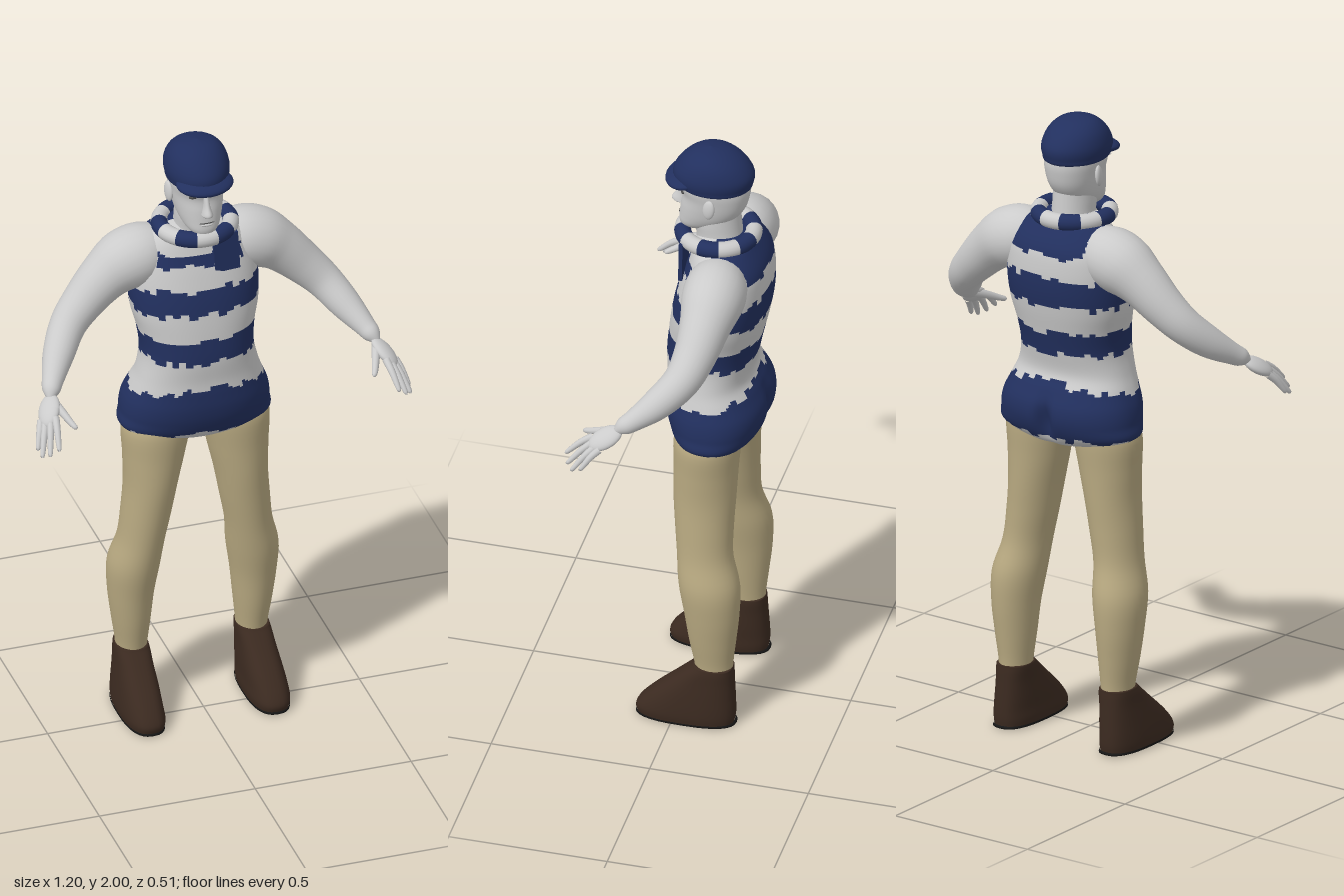
import * as THREE from 'three';

const mat = (name, color, side = THREE.FrontSide) => {
  const m = new THREE.MeshStandardMaterial({ color, side });
  m.name = name;
  return m;
};

// Closed grid surface: fn(row, angle) gives a point; rows are welded around.
function gridSurface(rows, cols, fn, pick) {
  const pos = [], faces = [[], []];
  for (let r = 0; r <= rows; r++)
    for (let c = 0; c < cols; c++) pos.push(...fn(r / rows, (c / cols) * Math.PI * 2));
  for (let r = 0; r < rows; r++)
    for (let c = 0; c < cols; c++) {
      const n = (c + 1) % cols, a = r * cols + c, b = r * cols + n;
      const up = a + cols, upN = b + cols;
      const k = pick ? pick(pos[a * 3], (pos[a * 3 + 1] + pos[up * 3 + 1]) / 2, pos[a * 3 + 2], c) : 0;
      faces[k].push(a, up, b, b, up, upN);
    }
  const g = new THREE.BufferGeometry();
  g.setAttribute('position', new THREE.Float32BufferAttribute(pos, 3));
  g.setIndex([...faces[0], ...faces[1]]);
  if (pick) {
    g.addGroup(0, faces[0].length, 0);
    g.addGroup(faces[0].length, faces[1].length, 1);
  }
  g.computeVertexNormals();
  return g;
}

// Smooth interpolation through a list of stations
function spline(stations, t) {
  const n = stations.length - 1, f = Math.min(t * n, n - 1e-6), i = Math.floor(f), u = f - i;
  const s = (k) => stations[Math.max(0, Math.min(n, k))];
  return s(i).map((p1, k) => {
    const p0 = s(i - 1)[k], p2 = s(i + 1)[k], p3 = s(i + 2)[k];
    return p1 + 0.5 * u * (p2 - p0 + u * (2 * p0 - 5 * p1 + 4 * p2 - p3 + u * (3 * (p1 - p2) + p3 - p0)));
  });
}

// Horizontal rings, bottom to top: [y, centreX, halfWidth, zFront, zBack]
function ringLoft(stations, { cols = 40, steps = 5, power = 2, shape, pick } = {}) {
  const sp = (v) => Math.sign(v) * Math.abs(v) ** (2 / power);
  return gridSurface((stations.length - 1) * steps, cols, (t, a) => {
    const [y, cx, hw, zf, zb] = spline(stations, t);
    const x = cx + Math.max(hw, 0) * sp(Math.cos(a));
    const z = (zf + zb) / 2 + ((zf - zb) / 2) * sp(Math.sin(a));
    return shape ? shape(x, y, z, Math.sin(a)) : [x, y, z];
  }, pick);
}

// Round limb with changing radius: [x, y, z, radius]
function limb(stations, cols = 24, steps = 5) {
  const n = (stations.length - 1) * steps;
  const ref = new THREE.Vector3(0, 0, 1);
  return gridSurface(n, cols, (t, a) => {
    const p = spline(stations, t), q = spline(stations, Math.min(1, t + 0.01)), o = spline(stations, Math.max(0, t - 0.01));
    const dir = new THREE.Vector3(q[0] - o[0], q[1] - o[1], q[2] - o[2]).normalize();
    const side = new THREE.Vector3().crossVectors(ref, dir).normalize();
    const up = new THREE.Vector3().crossVectors(side, dir);
    const r = Math.max(p[3], 0);
    const v = side.multiplyScalar(Math.cos(a) * r).addScaledVector(up, Math.sin(a) * r);
    return [p[0] + v.x, p[1] + v.y, p[2] + v.z];
  });
}

function mirrored(g) {
  const m = g.clone().scale(-1, 1, 1), ix = m.index.array;
  for (let i = 0; i < ix.length; i += 3) [ix[i], ix[i + 1]] = [ix[i + 1], ix[i]];
  m.computeVertexNormals();
  return m;
}

export function createModel() {
  const model = new THREE.Group();
  const pale = mat('pale grey', 0xcbcbcb), navy = mat('navy', 0x22305f);
  const tan = mat('tan', 0xb8a981), brown = mat('brown', 0x3b2a20);
  const black = mat('sole black', 0x171717), dark = mat('feature grey', 0x4a4a4a);

  const add = (name, g, m) => {
    const mesh = new THREE.Mesh(g, m);
    mesh.name = name;
    model.add(mesh);
    return mesh;
  };
  const pair = (name, g, m) => {
    add(name + 'Left', g, m);
    add(name + 'Right', mirrored(g), m);
  };
  const ball = (x, y, z, sx, sy, sz) => new THREE.SphereGeometry(1, 24, 16).scale(sx, sy, sz).translate(x, y, z);

  // Torso with ragged stripes
  const hash = (n) => { const s = Math.sin(n * 127.1 + 3.7) * 43758.5453; return s - Math.floor(s); };
  const stripe = (x, y, z, c) => {
    const back = z < -0.1;
    const jag = (k) => (hash(Math.floor(c / 2) + k * 31) - 0.5) * 0.022;
    const bands = [
      [1.0, 1.175 - 0.6 * x * x], [1.268, 1.345], [1.432, back ? 1.525 : 1.51],
      back ? [1.595, 1.72] : [1.58, 1.625],
    ];
    return bands.some(([lo, hi], k) => (k < 3 || Math.abs(x) < 0.135) && y > lo + jag(k) && y < hi + jag(k + 5)) ? 1 : 0;
  };
  add('torso', ringLoft([
    [0.955, 0, 0, -0.06, -0.1], [0.97, 0, 0.11, 0, -0.19], [1.0, 0, 0.23, 0.035, -0.225],
    [1.05, 0, 0.235, 0.058, -0.247], [1.1, 0, 0.228, 0.068, -0.247], [1.15, 0, 0.208, 0.068, -0.225],
    [1.2, 0, 0.19, 0.065, -0.2], [1.27, 0, 0.176, 0.068, -0.21], [1.34, 0, 0.182, 0.062, -0.225],
    [1.41, 0, 0.198, 0.053, -0.24], [1.48, 0, 0.203, 0.04, -0.25], [1.55, 0, 0.2, 0.02, -0.25],
    [1.61, 0, 0.185, 0.0, -0.24], [1.66, 0, 0.15, -0.015, -0.21], [1.69, 0, 0.105, -0.03, -0.18],
    [1.71, 0, 0.03, -0.07, -0.12],
  ], {
    cols: 96, steps: 7, power: 2.25, pick: stripe,
    // Cleft between the buttocks
    shape: (x, y, z, s) => [x, y, s < 0
      ? z + 0.035 * Math.exp(-((x / 0.022) ** 2)) * Math.exp(-(((y - 1.05) / 0.06) ** 2)) : z],
  }), [pale, navy]);

  // Legs
  pair('leg', ringLoft([
    [0.17, 0.193, 0.047, -0.065, -0.18], [0.22, 0.193, 0.05, -0.058, -0.181], [0.3, 0.195, 0.06, -0.043, -0.19],
    [0.4, 0.196, 0.071, -0.028, -0.2], [0.5, 0.19, 0.08, -0.01, -0.2], [0.6, 0.172, 0.073, 0, -0.174],
    [0.7, 0.157, 0.077, 0.01, -0.172], [0.8, 0.144, 0.083, 0.018, -0.176], [0.9, 0.134, 0.096, 0.02, -0.18],
    [1.0, 0.126, 0.107, 0.02, -0.185], [1.05, 0.12, 0.08, 0, -0.17],
  ], { cols: 32 }), tan);

  // Shoes and soles
  pair('shoe', ringLoft([
    [0.008, 0.2, 0.063, 0.117, -0.187], [0.03, 0.2, 0.065, 0.12, -0.19], [0.06, 0.2, 0.063, 0.1, -0.19],
    [0.1, 0.198, 0.06, 0.06, -0.188], [0.15, 0.196, 0.055, 0.002, -0.185], [0.195, 0.194, 0.052, -0.05, -0.182],
    [0.205, 0.194, 0.044, -0.065, -0.175], [0.205, 0.194, 0, -0.12, -0.12],
  ], { cols: 32, power: 2.6 }), brown);
  pair('sole', ringLoft([
    [0, 0.2, 0, -0.035, -0.035], [0, 0.2, 0.058, 0.108, -0.182], [0.01, 0.2, 0.064, 0.118, -0.188],
  ], { cols: 32, steps: 3, power: 2.6 }), black);

  // Arms
  pair('arm', limb([
    [0.09, 1.59, -0.12, 0.07], [0.15, 1.59, -0.12, 0.094], [0.215, 1.572, -0.12, 0.096], [0.28, 1.53, -0.115, 0.079],
    [0.35, 1.465, -0.102, 0.066], [0.41, 1.405, -0.075, 0.057], [0.46, 1.345, -0.015, 0.049],
    [0.5, 1.298, 0.05, 0.034], [0.515, 1.28, 0.08, 0.027], [0.525, 1.265, 0.1, 0.01],
  ]), pale);

  // Hands: flat palm, four fingers and a thumb
  const along = new THREE.Vector3(0.045, -0.06, 0.1).normalize();
  const across = new THREE.Vector3(0.05, -0.02, -0.06);
  across.addScaledVector(along, -across.dot(along)).normalize();
  const normal = new THREE.Vector3().crossVectors(along, across);
  const palmAt = new THREE.Vector3(0.538, 1.243, 0.13);
  pair('palm', ball(0, 0, 0, 0.036, 0.019, 0.058)
    .applyMatrix4(new THREE.Matrix4().makeBasis(across, normal, along).setPosition(palmAt)), pale);
  const tips = [[0.545, 1.175, 0.248], [0.57, 1.155, 0.238], [0.589, 1.145, 0.22], [0.594, 1.155, 0.192]];
  tips.forEach((tip, i) => {
    const base = palmAt.clone().addScaledVector(along, 0.03).addScaledVector(across, (i - 1.5) * 0.017);
    const b = base.toArray(), mid = b.map((v, k) => (v + tip[k]) / 2 + (k === 1 ? 0.006 : 0));
    pair('finger' + (i + 1), limb([[...b, 0.012], [...mid, 0.0105], [...tip, 0.007], [...tip.map((v, k) => v + along.getComponent(k) * 0.005), 0]], 10, 4), pale);
  });
  pair('thumb', limb([[0.522, 1.262, 0.1, 0.016], [0.505, 1.245, 0.145, 0.013], [0.488, 1.225, 0.19, 0.01],
    [0.479, 1.217, 0.21, 0.007], [0.477, 1.215, 0.215, 0]], 10, 4), pale);

  // Neck and head
  add('neck', ringLoft([[1.62, 0, 0.08, -0.02, -0.17], [1.69, 0, 0.066, -0.015, -0.16], [1.74, 0, 0.064, -0.005, -0.155],
    [1.8, 0, 0.06, -0.02, -0.15]]), pale);
  add('head', ringLoft([
    [1.7, 0, 0, 0, -0.02], [1.705, 0, 0.03, 0.028, -0.05], [1.725, 0, 0.052, 0.038, -0.09], [1.755, 0, 0.067, 0.036, -0.14],
    [1.79, 0, 0.076, 0.032, -0.168], [1.83, 0, 0.082, 0.026, -0.18], [1.87, 0, 0.086, 0.036, -0.183],
    [1.92, 0, 0.08, 0.025, -0.17], [1.95, 0, 0, -0.06, -0.08],
  ], { power: 2.2 }), pale);
  add('nose', ringLoft([[1.775, 0, 0, 0.04, 0.02], [1.782, 0, 0.017, 0.056, 0.01], [1.792, 0, 0.016, 0.064, 0.01],
    [1.815, 0, 0.01, 0.05, 0.01], [1.85, 0, 0.008, 0.034, 0.01]], { cols: 16 }), pale);
  pair('ear', ball(0, 0, 0, 0.01, 0.034, 0.02).rotateY(-0.3).rotateX(-0.15).translate(0.087, 1.822, -0.075), pale);
  pair('brow', ball(0.036, 1.858, 0.024, 0.024, 0.006, 0.01), pale);
  pair('eye', ball(0.036, 1.843, 0.016, 0.016, 0.006, 0.008), dark);
  add('mouth', ball(0, 1.753, 0.033, 0.024, 0.0025, 0.0045), dark);
  add('lowerLip', ball(0, 1.746, 0.033, 0.02, 0.005, 0.006), pale);

  // Flat cap with visor
  add('cap', ringLoft([
    [1.875, 0, 0, -0.06, -0.08], [1.866, 0, 0.082, 0.03, -0.175], [1.885, 0, 0.096, 0.055, -0.192], [1.92, 0, 0.098, 0.054, -0.194],
    [1.96, 0, 0.084, 0.026, -0.165], [1.988, 0, 0.053, -0.012, -0.118], [2.0, 0, 0, -0.06, -0.06],
  ]), navy);
  add('visor', ball(0, 0, 0, 0.09, 0.024, 0.068).rotateX(0.12).translate(0, 1.886, 0.013), navy);

  // Scarf ring in alternating bands, with a hanging tail
  class ScarfArc extends THREE.Curve {
    constructor(i) { super(); this.i = i; }
    getPoint(t, out = new THREE.Vector3()) {
      const a = ((this.i - 0.5 + t) * Math.PI) / 6;
      return out.set(Math.sin(a) * 0.109, 1.692, -0.083 + Math.cos(a) * 0.109);
    }
  }
  for (let i = 0; i < 12; i++)
    add('scarfBand' + (i + 1), new THREE.TubeGeometry(new ScarfArc(i), 6, 0.026, 16), i % 2 ? navy : pale);
  const tail = new THREE.BoxGeometry(0.08, 0.13, 0.012, 4, 4, 1).rotateZ(0.06).translate(0.07, 1.623, 0.008);
  add('scarfTail', tail, navy);

  return model;
}
